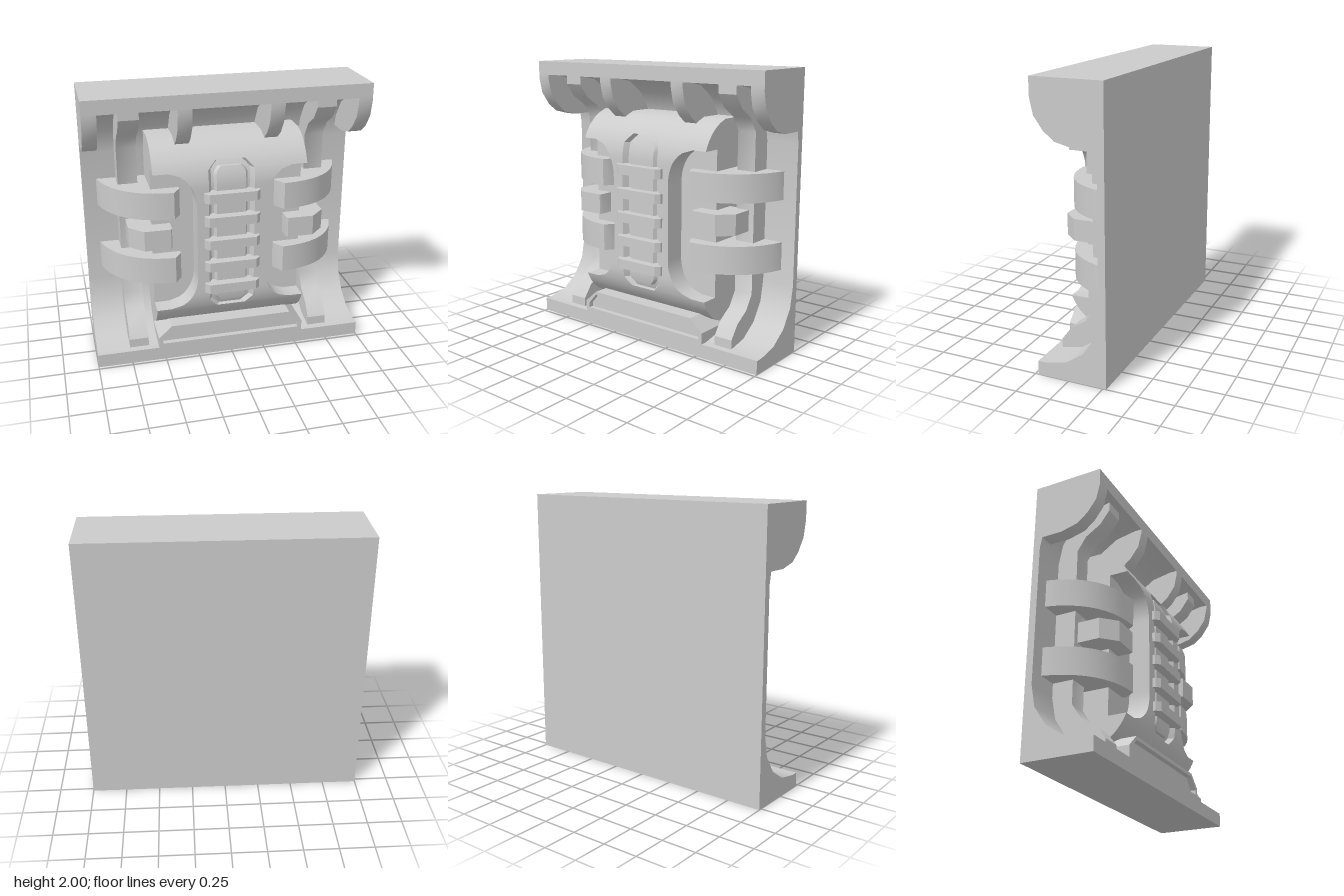
import * as THREE from 'three';
import { toCreasedNormals } from 'three/addons/utils/BufferGeometryUtils.js';

const material = new THREE.MeshStandardMaterial({ color: 0xcccccc });
const BACK = -0.25;
const toShape = (pts) => new THREE.Shape(pts.map(([a, b]) => new THREE.Vector2(a, b)));

function addMesh(parent, name, geometry) {
  const mesh = new THREE.Mesh(toCreasedNormals(geometry, 0.6), material);
  mesh.name = name;
  parent.add(mesh);
}

const extrude = (shape, depth) =>
  new THREE.ExtrudeGeometry(shape, { depth, bevelEnabled: false });

// Side profile of [z, y] points, extruded from x0 to x1
const alongX = (pts, x0, x1) =>
  extrude(toShape(pts), x1 - x0).rotateY(-Math.PI / 2).translate(x1, 0, 0);

// Plan profile of [x, z] points, extruded from y0 to y1
const alongY = (pts, y0, y1) =>
  extrude(toShape(pts), y1 - y0).rotateX(Math.PI / 2).translate(0, y1, 0);

// Skin over rows of [x, z] sections, with both ends closed
function loft(ys, section) {
  const rows = ys.map((y) => section(y).map(([x, z]) => [x, y, z]));
  const cap = (row) => row.map(([x, y]) => [x, y, row[0][2]]);
  rows.unshift(cap(rows[0]));
  rows.push(cap(rows[rows.length - 1]));
  const pos = [];
  for (let i = 0; i < rows.length - 1; i++) {
    for (let j = 0; j < rows[0].length - 1; j++) {
      const a = rows[i][j], b = rows[i][j + 1];
      const c = rows[i + 1][j + 1], d = rows[i + 1][j];
      pos.push(...a, ...b, ...c, ...a, ...c, ...d);
    }
  }
  const geometry = new THREE.BufferGeometry();
  geometry.setAttribute('position', new THREE.Float32BufferAttribute(pos, 3));
  return geometry;
}

// Evenly spaced heights, with a tight pair at each abrupt change
function heights(y0, y1, breaks = []) {
  const ys = [];
  const n = Math.round((y1 - y0) / 0.025);
  for (let i = 0; i <= n; i++) ys.push(y0 + ((y1 - y0) * i) / n);
  const clear = ys.filter((y) => breaks.every((b) => Math.abs(y - b) > 0.002));
  for (const b of breaks) clear.push(b - 0.0002, b + 0.0002);
  return clear.sort((a, b) => a - b);
}

// Front surface of the central panel: flat, rolling back at top and bottom
function panelZ(y) {
  const dy = Math.min(Math.max(0.52 - y, y - 1.33, 0), 0.32);
  return 0.225 - 0.33 + Math.sqrt(0.33 * 0.33 - dy * dy);
}

// Half width of the panel: narrowed by a rounded cutout on each side
function panelHalfWidth(y) {
  const d = Math.min(y - 0.4, 1.45 - y);
  if (d < 0) return 0.55;
  const t = Math.max(0, 1 - d / 0.25);
  return 0.45 - 0.2 * Math.sqrt(1 - t * t);
}

function panelSection(y) {
  const w = panelHalfWidth(y), z = panelZ(y);
  const d = Math.min(y - 0.39, 1.515 - y);
  const h = d < 0 ? 0 : Math.min(0.165, 0.105 + d);
  const inner = Math.max(h - 0.025, 0);
  const low = d < 0 ? z : z - 0.04;
  return [[-w, BACK], [-w, z], [-h, z], [-inner, low], [inner, low], [h, z], [w, z], [w, BACK]];
}

function padSection(y) {
  const w = Math.min(0.105, 0.07 + Math.min(y - 0.43, 1.47 - y));
  const z = panelZ(y);
  return [[-w - 0.02, z - 0.045], [-w, z - 0.015], [w, z - 0.015], [w + 0.02, z - 0.045]];
}

export function createModel() {
  const model = new THREE.Group();
  model.name = 'wallPanel';
  const upsideDown = (pts) => pts.map(([z, y]) => [z, 2 - y]).reverse();

  // Back wall with a cove sweeping forward at the floor and ceiling
  const cove = [[0.225, 0.1]];
  for (let i = 0; i <= 4; i++) {
    const a = (i * Math.PI) / 8;
    cove.push([0.17 - 0.395 * Math.sin(a), 0.5 - 0.4 * Math.cos(a)]);
  }
  const frame = [[-0.275, 0], [0.225, 0], ...cove, ...upsideDown(cove), [0.225, 2], [-0.275, 2]];
  addMesh(model, 'frame', alongX(frame, -1, 1));

  // Rounded brackets under the ceiling
  const bracket = [
    [0.225, 1.92], [0.225, 1.87], [0.2, 1.76], [0.135, 1.67], [0.06, 1.61],
    [-0.06, 1.58], [BACK, 1.58], [BACK, 1.92],
  ];
  for (const [x0, x1] of [[-1, -0.9], [-0.37, -0.27], [0.27, 0.37], [0.9, 1]]) {
    addMesh(model, 'ceilingBracket', alongX(bracket, x0, x1));
  }

  // Central panel, the floor of its cutouts, and the inset pad
  addMesh(model, 'centralPanel', loft(heights(0.1, 1.65, [0.39, 0.4, 1.45, 1.515]), panelSection));
  const floor = new THREE.BoxGeometry(1.1, 1.15, 0.07 - BACK);
  addMesh(model, 'cutoutFloor', floor.translate(0, 0.925, (0.07 + BACK) / 2));
  addMesh(model, 'insetPad', loft(heights(0.43, 1.47), padSection));

  // Ribs across the inset
  const rib = [[-0.2, 0.16], [-0.2, 0.245], [-0.17, 0.275], [0.17, 0.275], [0.2, 0.245], [0.2, 0.16]];
  for (let i = 0; i < 5; i++) {
    const y = 0.53 + i * 0.175;
    addMesh(model, 'rib', alongY(rib, y, y + 0.07));
  }

  // Sill with a shallow recess in its face
  const outline = [[-0.55, 0.1], [0.55, 0.1], [0.55, 0.18], [0.45, 0.27], [-0.45, 0.27], [-0.55, 0.18]];
  const recess = [[-0.52, 0.13], [0.52, 0.13], [0.52, 0.165], [0.45, 0.245], [-0.45, 0.245], [-0.52, 0.165]];
  addMesh(model, 'sillCore', extrude(toShape(outline), 0.285).translate(0, 0, -0.1));
  const rim = toShape(outline);
  rim.holes.push(toShape(recess));
  addMesh(model, 'sillRim', extrude(rim, 0.04).translate(0, 0, 0.185));

  // Rails, clamps and clips on both sides
  const railEnd = [[0.17, 0.09], [0.17, 0.165], [0.1, 0.26], [-0.01, 0.33], [-0.075, 0.43]];
  const rail = [[BACK, 0.09], ...railEnd, ...upsideDown(railEnd), [BACK, 1.91]];
  const arc = new THREE.QuadraticBezierCurve(
    new THREE.Vector2(0.4, 0.175), new THREE.Vector2(0.8, 0.16), new THREE.Vector2(0.9, -0.225));
  const clamp = [[0.35, BACK], [0.35, 0.1], ...arc.getPoints(10).map((p) => [p.x, p.y]), [0.9, BACK]];
  const clip = [[0.42, -0.1], [0.42, 0.165], [0.43, 0.185], [0.62, 0.185], [0.72, 0.085], [0.72, -0.1]];
  for (const side of [1, -1]) {
    const label = side > 0 ? 'left' : 'right';
    const mirror = (pts) => pts.map(([x, z]) => [x * side, z]);
    addMesh(model, label + 'Rail', alongX(rail, side > 0 ? 0.62 : -0.76, side > 0 ? 0.76 : -0.62));
    for (const y of [0.6, 1.1]) addMesh(model, label + 'Clamp', alongY(mirror(clamp), y, y + 0.2));
    addMesh(model, label + 'Clip', alongY(mirror(clip), 0.88, 1.03));
  }
  return model;
}
